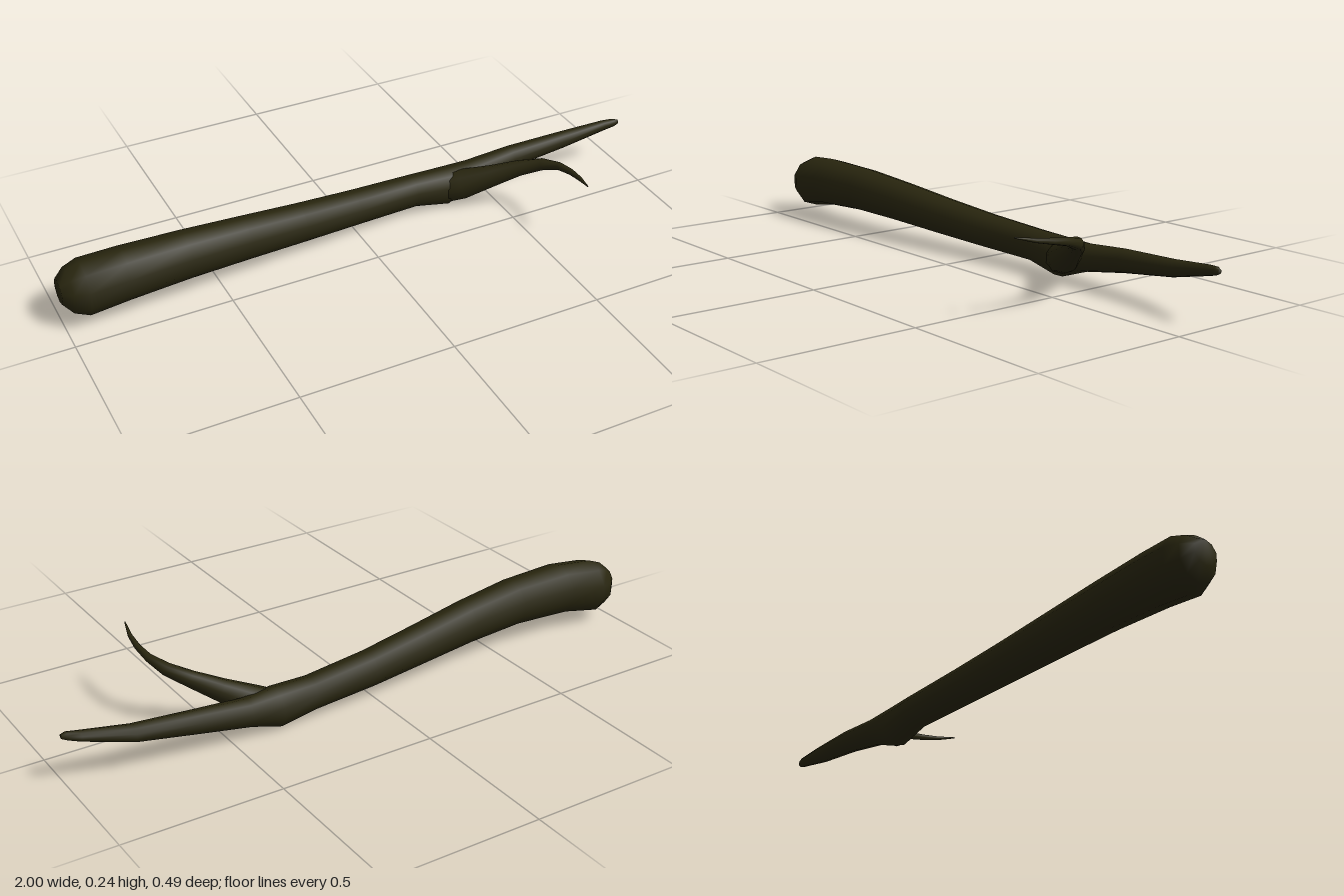
import * as THREE from 'three';

const SIDES = 10;

// Skin closed rings (arrays of Vector3) into one smooth surface, capped at both ends
function loft(rings) {
  const n = rings[0].length;
  const pos = [], idx = [];
  rings.forEach(r => r.forEach(p => pos.push(p.x, p.y, p.z)));
  for (let i = 0; i < rings.length - 1; i++) {
    for (let j = 0; j < n; j++) {
      const a = i * n + j, b = i * n + (j + 1) % n, c = a + n, d = b + n;
      idx.push(a, b, c, b, d, c);
    }
  }
  const last = (rings.length - 1) * n;
  for (let j = 1; j < n - 1; j++) {
    idx.push(0, j + 1, j, last, last + j, last + j + 1);
  }
  const g = new THREE.BufferGeometry();
  g.setAttribute('position', new THREE.Float32BufferAttribute(pos, 3));
  g.setIndex(idx);
  g.computeVertexNormals();
  return g;
}

// Oval ring around a centre; u x v must point along the limb
function ring(center, u, v, ru, rv) {
  return Array.from({ length: SIDES }, (_, j) => {
    const a = j / SIDES * Math.PI * 2;
    return center.clone().addScaledVector(u, Math.cos(a) * ru).addScaledVector(v, Math.sin(a) * rv);
  });
}

export function createModel() {
  const group = new THREE.Group();
  group.name = 'forkedStick';
  const bark = new THREE.MeshStandardMaterial({ color: 0x29260f });
  bark.name = 'dark bark';

  // Main stick: x, bottom y, top y, back z, front z
  const sections = [
    [-1.00, 0.085, 0.165, -0.165, -0.08],
    [-0.97, 0.045, 0.190, -0.195, -0.055],
    [-0.925, 0.028, 0.207, -0.211, -0.034],
    [-0.80, 0.050, 0.217, -0.198, -0.027],
    [-0.60, 0.060, 0.212, -0.192, -0.040],
    [-0.40, 0.054, 0.193, -0.200, -0.063],
    [-0.20, 0.043, 0.168, -0.216, -0.089],
    [0.00, 0.033, 0.146, -0.233, -0.115],
    [0.22, 0.026, 0.131, -0.246, -0.136],
    [0.34, 0.002, 0.131, -0.247, -0.128],
    [0.44, 0.036, 0.125, -0.243, -0.148],
    [0.60, 0.064, 0.138, -0.235, -0.157],
    [0.80, 0.094, 0.148, -0.215, -0.154],
    [0.95, 0.132, 0.165, -0.181, -0.144],
    [0.985, 0.142, 0.168, -0.167, -0.140],
    [1.00, 0.149, 0.163, -0.158, -0.144],
  ];
  const yAxis = new THREE.Vector3(0, 1, 0), zAxis = new THREE.Vector3(0, 0, 1);
  const stick = new THREE.Mesh(loft(sections.map(([x, y0, y1, z0, z1]) =>
    ring(new THREE.Vector3(x, (y0 + y1) / 2, (z0 + z1) / 2), yAxis, zAxis, (y1 - y0) / 2, (z1 - z0) / 2))), bark);
  stick.name = 'mainStick';
  group.add(stick);

  // Side twig curling forward: x, y, z, radius
  const twigPoints = [
    [0.33, 0.060, -0.185, 0.050],
    [0.39, 0.080, -0.150, 0.050],
    [0.47, 0.118, -0.098, 0.036],
    [0.545, 0.155, -0.050, 0.026],
    [0.60, 0.182, 0.000, 0.020],
    [0.627, 0.201, 0.060, 0.013],
    [0.632, 0.212, 0.120, 0.010],
    [0.627, 0.222, 0.180, 0.007],
    [0.612, 0.236, 0.245, 0.002],
  ];
  const centers = twigPoints.map(p => new THREE.Vector3(p[0], p[1], p[2]));
  const twigRings = centers.map((c, i) => {
    const t = centers[Math.min(i + 1, centers.length - 1)].clone()
      .sub(centers[Math.max(i - 1, 0)]).normalize();
    const v = t.clone().cross(yAxis).normalize();
    const u = v.clone().cross(t);
    return ring(c, u, v, twigPoints[i][3], twigPoints[i][3]);
  });
  const twig = new THREE.Mesh(loft(twigRings), bark);
  twig.name = 'sideTwig';
  group.add(twig);

  return group;
}
